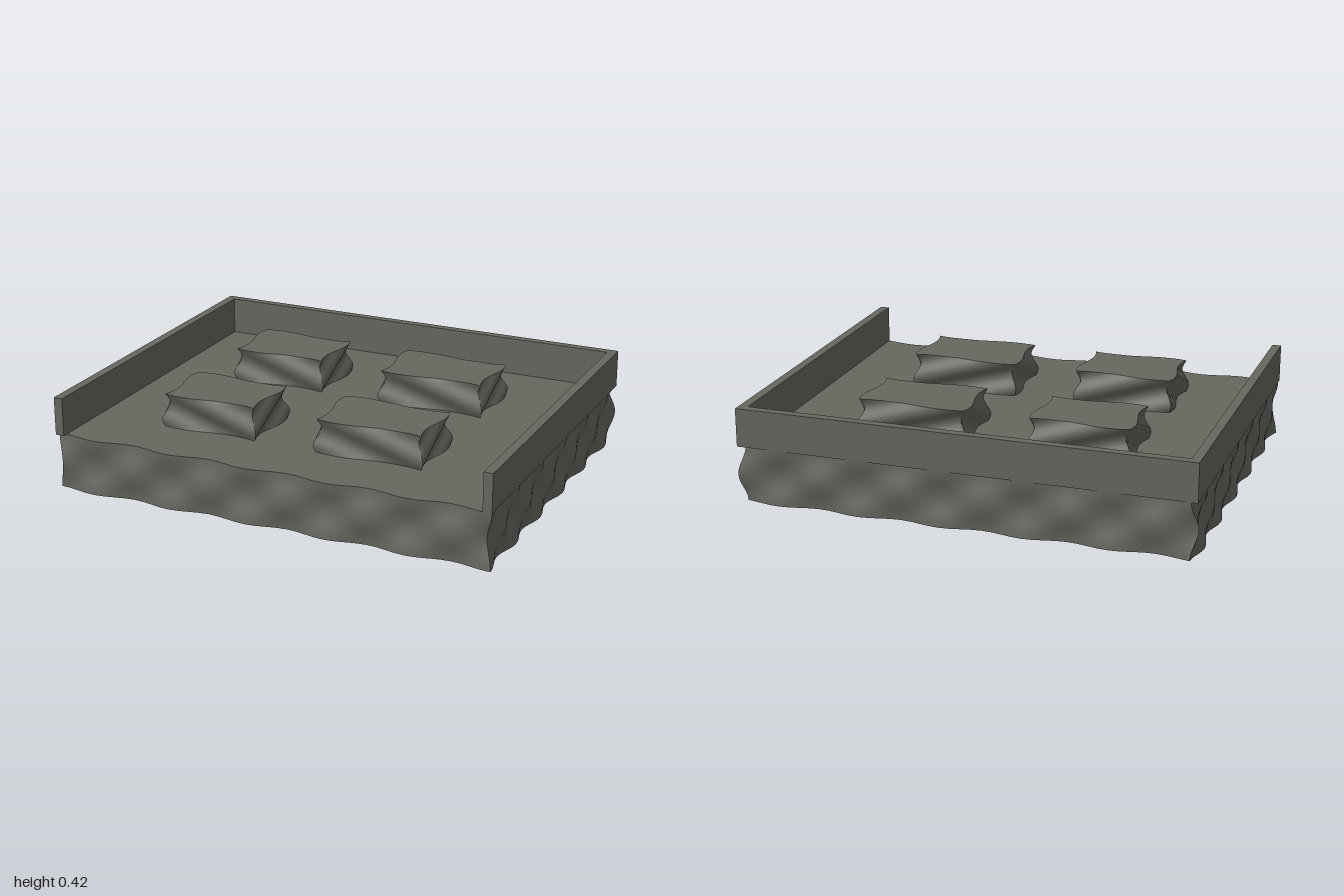
import * as THREE from 'three';

const stone = new THREE.MeshStandardMaterial({ color: 0x666860 });
stone.name = 'grey stone';

// Box whose four sides are pushed inward by inset(u, v, side): u runs along the
// side (0 at +x or +z), v runs up, and side is +1 on front/left, -1 on back/right.
function roughBox(w, h, d, segments, rows, inset) {
  const geo = new THREE.BoxGeometry(w, h, d, segments, rows, segments);
  const pos = geo.attributes.position;
  for (let i = 0; i < pos.count; i++) {
    const x = pos.getX(i), y = pos.getY(i), z = pos.getZ(i);
    const v = y / h + 0.5;
    if (Math.abs(x) > w / 2 - 1e-4) {
      pos.setX(i, x - Math.sign(x) * inset(0.5 - z / d, v, Math.sign(x), true));
    }
    if (Math.abs(z) > d / 2 - 1e-4) {
      pos.setZ(i, z - Math.sign(z) * inset(0.5 - x / w, v, Math.sign(z), false));
    }
  }
  geo.computeVertexNormals();
  return geo;
}

// Hewn patches alternating along the slab
function slabInset(u, v, side, alongZ) {
  const s = alongZ ? 1 : side;
  return 0.014 * (1 - s * Math.cos(Math.PI * 11 * u) * Math.cos(Math.PI * 2 * v));
}

// Slanting grooves around the raised blocks
function blockInset(u, v) {
  return 0.014 * (1 - Math.cos(Math.PI * 2 * (v - u - 0.22)));
}

export function createModel() {
  const model = new THREE.Group();
  model.name = 'stone platform';

  const add = (name, geo, x, y, z) => {
    const mesh = new THREE.Mesh(geo, stone);
    mesh.name = name;
    mesh.position.set(x, y, z);
    model.add(mesh);
  };

  // Rough base slab
  add('baseSlab', roughBox(2, 0.25, 1.6, 44, 12, slabInset), 0, 0.125, 0);

  // Parapet on three sides, open at the front
  const wallH = 0.17, wallY = 0.25 + wallH / 2, t = 0.04;
  for (const side of [-1, 1]) {
    add(side > 0 ? 'leftWall' : 'rightWall', new THREE.BoxGeometry(t, wallH, 1.6),
      side * (1 - t / 2), wallY, 0);
  }
  add('backWall', new THREE.BoxGeometry(2 - 2 * t, wallH, t), 0, wallY, -0.8 + t / 2);

  // Four raised blocks
  for (const [x0, x1] of [[-0.635, -0.18], [0.09, 0.59]]) {
    for (const z of [-0.31, 0.355]) {
      add('raisedBlock', roughBox(x1 - x0, 0.15, 0.33, 14, 10, blockInset),
        (x0 + x1) / 2, 0.323, z);
    }
  }
  return model;
}
